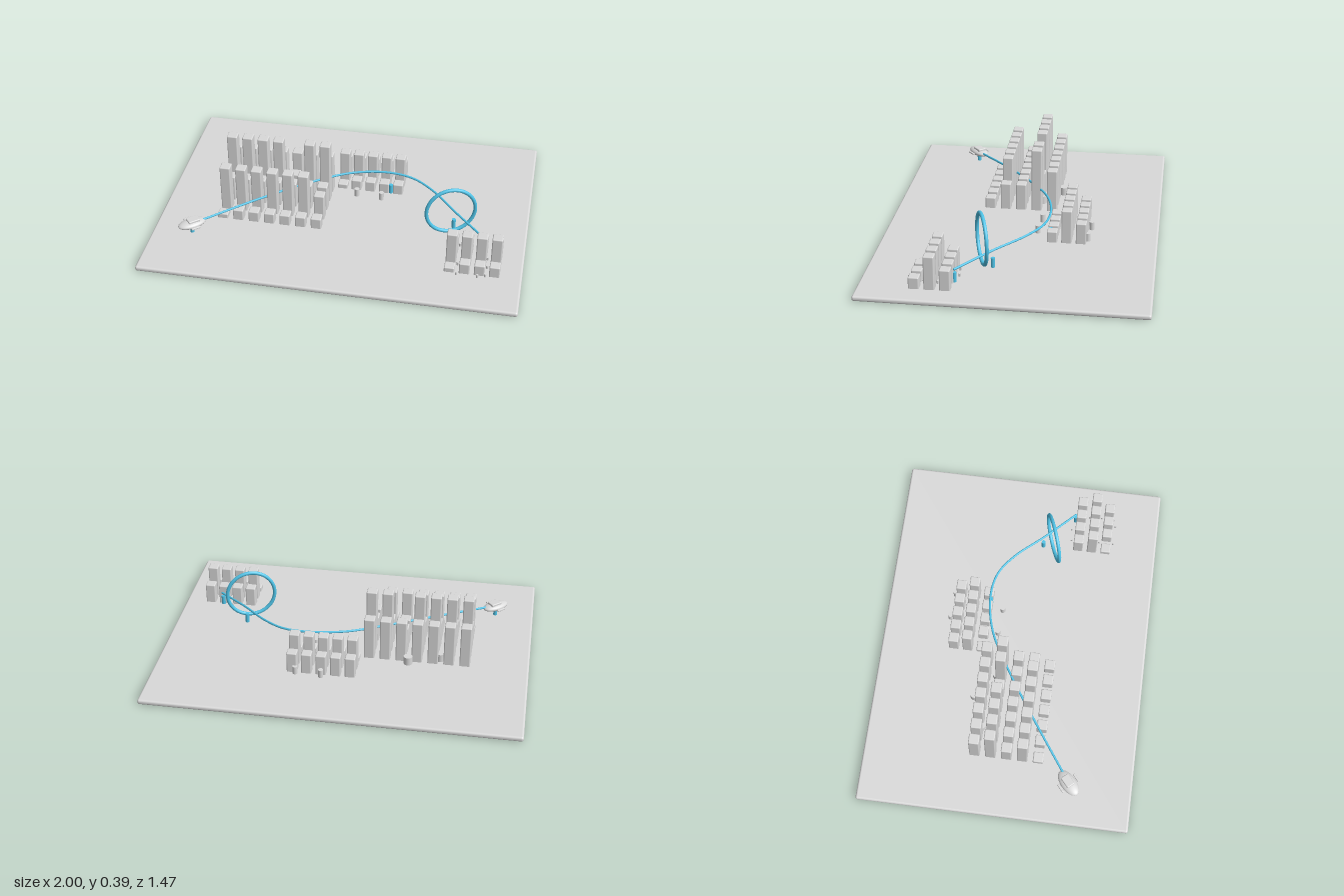
import * as THREE from 'three';
import { RoundedBoxGeometry } from 'three/addons/geometries/RoundedBoxGeometry.js';

export function createModel() {
  const model = new THREE.Group();
  model.name = 'cityDiorama';
  const grey = new THREE.MeshStandardMaterial({ color: 0xd9d9d9 });
  grey.name = 'model grey';
  const blue = new THREE.MeshStandardMaterial({ color: 0x50c4e8 });
  blue.name = 'track blue';
  const GROUND = 0.028;

  const add = (parent, name, geometry, material, x = 0, y = 0, z = 0) => {
    const mesh = new THREE.Mesh(geometry, material);
    mesh.name = name;
    mesh.position.set(x, y, z);
    parent.add(mesh);
    return mesh;
  };

  // Base slab with rounded edges
  add(model, 'basePlate', new RoundedBoxGeometry(2, GROUND, 1.474, 4, 0.012), grey, 0, GROUND / 2, 0);

  // City blocks: one top height per row, with exceptions keyed "row,column"
  const cityBlock = (name, x0, z0, pitchX, pitchZ, width, columns, rowTops, exceptions) => {
    const block = new THREE.Group();
    block.name = name;
    rowTops.forEach((rowTop, row) => {
      for (let col = 0; col < columns; col++) {
        const top = exceptions[`${row},${col}`] ?? rowTop;
        const height = top - GROUND + 0.006;
        add(block, 'tower', new RoundedBoxGeometry(width, height, width, 2, 0.006), grey,
          x0 + col * pitchX, top - height / 2, z0 + row * pitchZ);
      }
    });
    model.add(block);
  };
  cityBlock('largeDistrict', -0.655, -0.132, 0.0868, 0.0868, 0.057, 7,
    [0.27, 0.39, 0.18, 0.30, 0.09], { '1,4': 0.18, '3,6': 0.18, '4,0': 0.055 });
  cityBlock('rearDistrict', -0.06, -0.331, 0.0788, 0.0775, 0.055, 5,
    [0.145, 0.215, 0.09], { '2,0': 0.055 });
  cityBlock('cornerDistrict', 0.621, 0.291, 0.0785, 0.079, 0.055, 4,
    [0.14, 0.21, 0.09], { '2,0': 0.055 });

  // Small round pillars scattered about the districts
  const pillars = (name, radius, top, spots) => {
    for (const [x, z] of spots) {
      add(model, name, new THREE.CylinderGeometry(radius, radius, top - GROUND, 20), grey,
        x, (top + GROUND) / 2, z);
    }
  };
  pillars('wideTank', 0.024, 0.073, [[-0.35, -0.176], [-0.52, -0.116], [-0.218, -0.068]]);
  pillars('slimTank', 0.014, 0.073, [[0.094, -0.375], [0.235, -0.364], [0.032, -0.098], [0.172, -0.088]]);
  pillars('bollard', 0.006, 0.045, [[0.655, 0.25], [0.722, 0.243], [0.81, 0.339], [0.815, 0.408],
    [0.66, 0.488], [0.77, 0.492], [0.81, 0.478], [0.66, 0.408]]);

  // Curved flight track sweeping over the city
  const path = new THREE.CatmullRomCurve3([
    [-0.74, 0.09, 0.362], [-0.45, 0.128, 0.153], [-0.22, 0.15, -0.002], [0, 0.161, -0.122],
    [0.2, 0.163, -0.16], [0.34, 0.157, -0.138], [0.46, 0.147, -0.06], [0.61, 0.127, 0.093],
    [0.785, 0.1, 0.258],
  ].map((p) => new THREE.Vector3(...p)));
  add(model, 'flightTrack', new THREE.TubeGeometry(path, 120, 0.006, 12), blue);
  for (const t of [0, 1]) {
    add(model, 'trackEnd', new THREE.SphereGeometry(0.006, 12, 8), blue).position.copy(path.getPoint(t));
  }

  // Standing ring around the track
  const ring = add(model, 'hoop', new THREE.TorusGeometry(0.134, 0.01, 16, 72), blue, 0.586, 0.18, 0.15);
  ring.rotation.y = THREE.MathUtils.degToRad(20);

  // Blue marker posts
  for (const [x, z] of [[-0.785, 0.39], [0.215, -0.16], [0.6, 0.092], [0.78, 0.26]]) {
    add(model, 'markerPost', new THREE.CylinderGeometry(0.011, 0.011, 0.056, 20), blue, x, 0.053, z);
  }

  // Saucer craft pointing along the track
  const craft = new THREE.Group();
  craft.name = 'craft';
  craft.position.set(-0.784, 0.085, 0.392);
  craft.rotation.y = THREE.MathUtils.degToRad(41);
  const hull = add(craft, 'hull', new THREE.SphereGeometry(1, 36, 20), grey);
  hull.scale.set(0.079, 0.021, 0.042);
  add(craft, 'cabin', new RoundedBoxGeometry(0.066, 0.03, 0.048, 2, 0.005), grey, 0.008, 0.013, 0);
  for (const side of [-1, 1]) {
    add(craft, 'sidePod', new RoundedBoxGeometry(0.05, 0.01, 0.012, 2, 0.003), grey, 0, 0, side * 0.051);
  }
  model.add(craft);

  return model;
}
